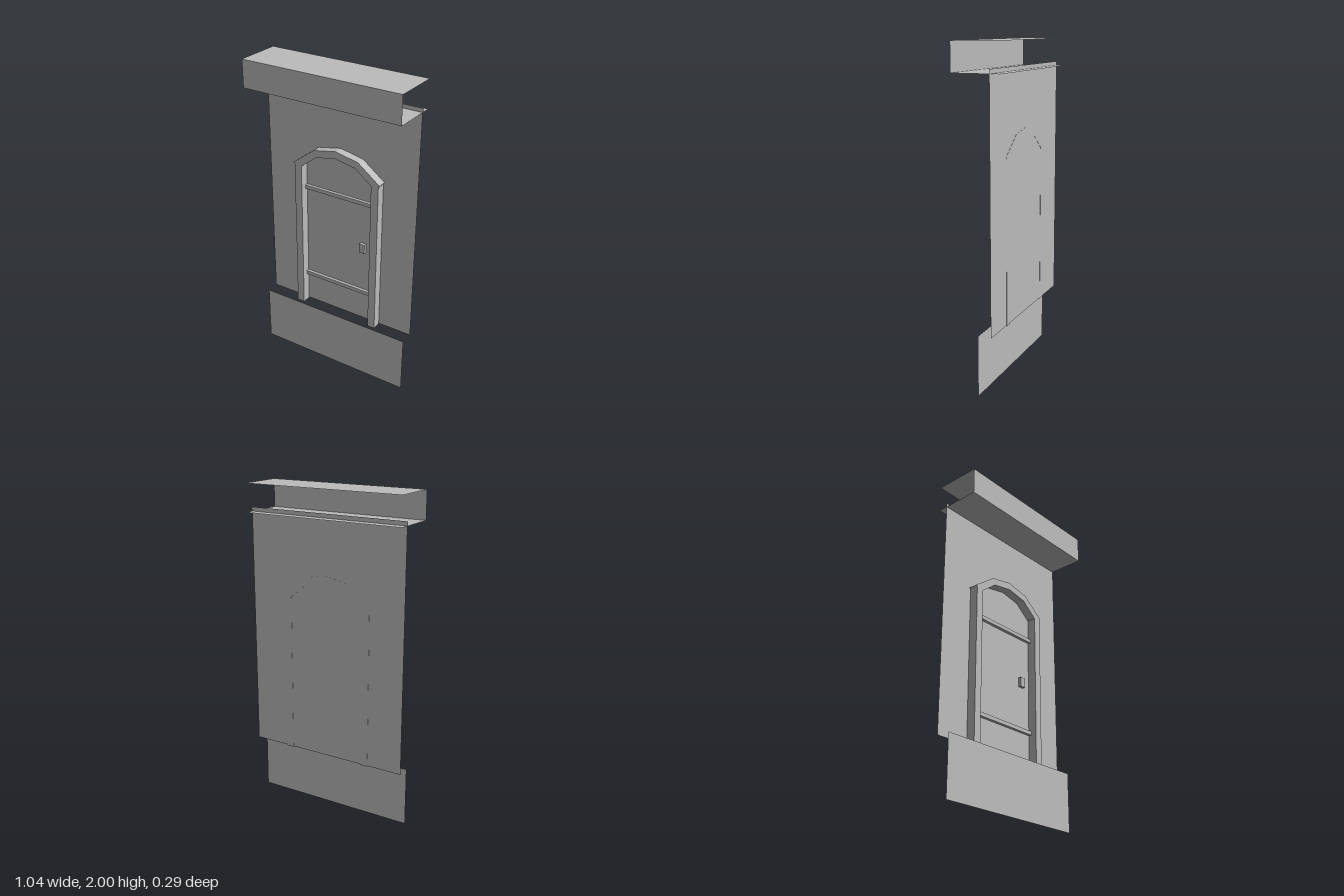
import * as THREE from 'three';

export function createModel() {
  const model = new THREE.Group();
  model.name = 'doorwayFacade';

  const stone = new THREE.MeshStandardMaterial({ color: 0xbcbcbc, side: THREE.DoubleSide });
  stone.name = 'plainGrey';

  const add = (name, geometry, x, y, z) => {
    const mesh = new THREE.Mesh(geometry, stone);
    mesh.name = name;
    mesh.position.set(x, y, z);
    model.add(mesh);
    return mesh;
  };
  // Upright sheet facing the front, spanning y0 to y1
  const upright = (name, width, y0, y1, z) =>
    add(name, new THREE.PlaneGeometry(width, y1 - y0), 0, (y0 + y1) / 2, z);
  // Level sheet facing up
  const level = (name, width, depth, y) =>
    add(name, new THREE.PlaneGeometry(width, depth).rotateX(-Math.PI / 2), 0, y, 0);

  // Wall sheets
  upright('basePanel', 1.03, 0, 0.365, 0);
  upright('wall', 1.034, 0.365, 1.83, -0.082);
  upright('wallTopLip', 1.04, 1.83, 1.855, -0.082);

  // Overhanging cornice, open at the back and ends
  level('corniceTop', 1.034, 0.29, 2);
  level('corniceUnderside', 1.034, 0.29, 1.83);
  upright('corniceFascia', 1.034, 1.83, 2, 0.145);

  // Door frame
  const backZ = -0.083, depth = 0.058;
  for (const side of [-1, 1]) {
    add(side < 0 ? 'rightJamb' : 'leftJamb', new THREE.BoxGeometry(0.049, 0.985, depth),
      side * 0.268, 0.8525, backZ + depth / 2);
  }
  const outer = [[-0.3, 1.357], [-0.153, 1.467], [0, 1.497], [0.153, 1.467], [0.3, 1.357]];
  const inner = [[0.244, 1.34], [0.135, 1.425], [0, 1.45], [-0.135, 1.425], [-0.244, 1.34]];
  const arch = new THREE.Shape([...outer, [0.292, 1.345], ...inner, [-0.292, 1.345]]
    .map(([x, y]) => new THREE.Vector2(x, y)));
  add('frameArch', new THREE.ExtrudeGeometry(arch, { depth, bevelEnabled: false }), 0, 0, backZ);

  // Door rails and handle
  for (const [name, y] of [['upperRail', 1.19], ['lowerRail', 0.57]]) {
    add(name, new THREE.BoxGeometry(0.49, 0.024, 0.02), 0, y, -0.072);
  }
  add('doorHandle', new THREE.BoxGeometry(0.037, 0.06, 0.02), 0.168, 0.882, -0.072);

  return model;
}
